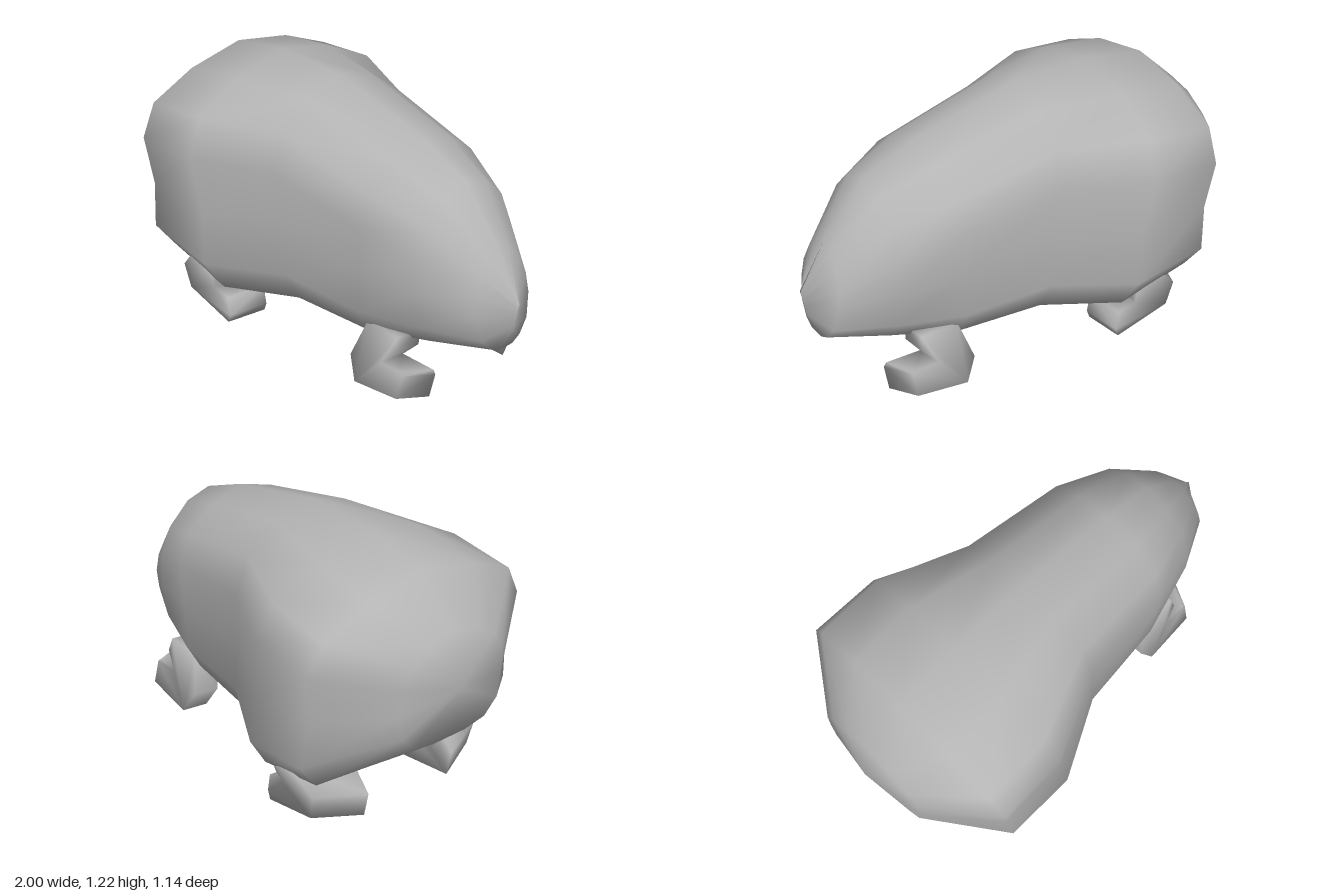
import * as THREE from 'three';
import { mergeVertices } from 'three/addons/utils/BufferGeometryUtils.js';

// Half cross-sections of the body, boxy and round: [fraction of half width, fraction of height], top to belly
const BOXY = [[0, 1], [0.48, 0.94], [0.87, 0.83], [1, 0.67], [0.95, 0.41], [0.99, 0.18], [0.83, 0.035], [0.36, 0], [0, 0]];
const ROUND = [[0, 1], [0.4, 0.95], [0.74, 0.8], [0.95, 0.62], [1, 0.42], [0.86, 0.18], [0.55, 0.05], [0.25, 0], [0, 0]];

// Body stations, rump to nose: [top x, top y, belly x, belly y, half width, roundness]
const STATIONS = [
  [-1, 0.73, -1, 0.73, 0, 1],
  [-0.95, 0.97, -0.95, 0.48, 0.28, 0.5],
  [-0.76, 1.15, -0.68, 0.27, 0.57, 0],
  [-0.45, 1.21, -0.33, 0.19, 0.56, 0],
  [-0.07, 1.215, 0, 0.22, 0.39, 0.15],
  [0.43, 1.1, 0.4, 0.24, 0.35, 0.2],
  [0.68, 1.0, 0.68, 0.28, 0.28, 0.7],
  [0.87, 0.78, 0.94, 0.335, 0.155, 1],
  [1, 0.57, 0.97, 0.42, 0, 1],
];

// Shares vertices so that the low-poly faces shade smoothly
function smooth(geometry) {
  geometry.deleteAttribute('normal');
  geometry.deleteAttribute('uv');
  const merged = mergeVertices(geometry);
  merged.computeVertexNormals();
  return merged;
}

// Full ring of a given roundness, right half mirrored to the left
function ring(roundness) {
  const half = BOXY.map(([w, h], i) => [
    THREE.MathUtils.lerp(w, ROUND[i][0], roundness),
    THREE.MathUtils.lerp(h, ROUND[i][1], roundness),
  ]);
  return [...half, ...half.slice(1, -1).reverse().map(([w, h]) => [-w, h])];
}

function bodyGeometry() {
  const positions = [], index = [], n = 2 * BOXY.length - 2;
  for (const [tx, ty, bx, by, w, roundness] of STATIONS) {
    for (const [u, h] of ring(roundness)) positions.push(bx + (tx - bx) * h, by + (ty - by) * h, u * w);
  }
  for (let i = 0; i < STATIONS.length - 1; i++) {
    for (let j = 0; j < n; j++) {
      const a = i * n + j, b = i * n + (j + 1) % n;
      index.push(a, b, a + n, b, b + n, a + n);
    }
  }
  const geometry = new THREE.BufferGeometry();
  geometry.setAttribute('position', new THREE.Float32BufferAttribute(positions, 3));
  geometry.setIndex(index);
  return smooth(geometry);
}

// Leg and foot in one: a side outline given width, whose corners are moved by a rule
function legGeometry({ outline, inner, outer, bend }) {
  const shape = new THREE.Shape(outline.map(([x, y]) => new THREE.Vector2(x, y)));
  const geometry = new THREE.ExtrudeGeometry(shape, { depth: outer - inner, bevelEnabled: false });
  geometry.translate(0, 0, inner);
  const p = geometry.attributes.position;
  for (let i = 0; i < p.count; i++) {
    p.setXYZ(i, ...bend(p.getX(i), p.getY(i), p.getZ(i), p.getZ(i) - inner));
  }
  return smooth(geometry);
}

const LEGS = {
  // Heel slants forward on the outside, thigh flares out into the haunch
  hindLeg: {
    outline: [[-0.71, 0.06], [-0.34, 0], [-0.325, 0.04], [-0.34, 0.13], [-0.43, 0.145], [-0.4, 0.19], [-0.4, 0.3], [-0.62, 0.3], [-0.735, 0.18]],
    inner: 0.235,
    outer: 0.445,
    bend: (x, y, z, d) => [x < -0.6 ? x + d * 0.45 : x, y + d * 0.12, z + Math.max(0, y - 0.14) * d * 1.5],
  },
  // Leg leans inward to the top, toe slants back on the outside
  foreLeg: {
    outline: [[0.42, 0.045], [0.73, 0.08], [0.735, 0.18], [0.72, 0.195], [0.54, 0.185], [0.61, 0.26], [0.6, 0.32], [0.42, 0.32], [0.365, 0.145]],
    inner: 0.23,
    outer: 0.36,
    bend: (x, y, z, d) => [x > 0.65 ? x - d * 0.5 : x, y + d * 0.12, z - (y - 0.06) * 0.28],
  },
};

export function createModel() {
  const grey = new THREE.MeshStandardMaterial({ color: 0xb4b4b4 });
  grey.name = 'grey';
  const model = new THREE.Group();
  const add = (name, geometry) => {
    const mesh = new THREE.Mesh(geometry, grey);
    mesh.name = name;
    model.add(mesh);
  };

  add('body', bodyGeometry());

  // Each leg, then its mirror image with the faces turned round
  for (const [name, leg] of Object.entries(LEGS)) {
    const geometry = legGeometry(leg);
    add(name + 'Near', geometry);
    const mirrored = geometry.clone().scale(1, 1, -1);
    mirrored.index.array.reverse();
    mirrored.computeVertexNormals();
    add(name + 'Far', mirrored);
  }
  return model;
}
